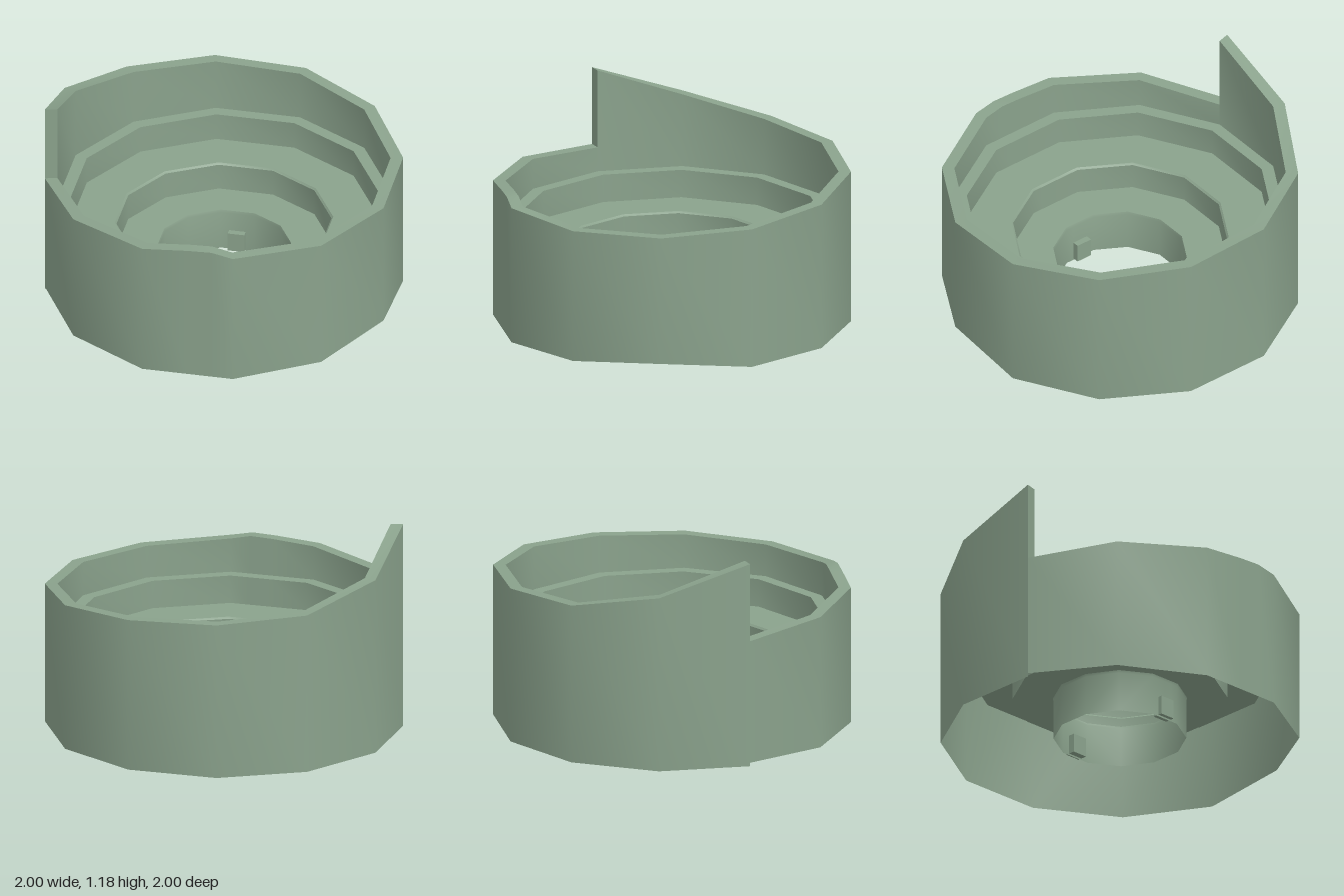
import * as THREE from 'three';
import { toCreasedNormals } from 'three/addons/utils/BufferGeometryUtils.js';

const SIDES = 12;
const material = new THREE.MeshStandardMaterial({ color: 0x8aa28c, side: THREE.DoubleSide });

// Each station: angle in degrees (from -x through the back), rim height, skirt bottom height
const stations = [
  [0, 1.18, 0], [30, 1.01, 0], [60, 0.915, 0], [90, 0.893, 0], [120, 0.875, 0], [150, 0.84, 0],
  [180, 0.805, 0], [210, 0.785, 0.05], [240, 0.775, 0.015], [270, 0.785, 0], [277, 0.81, 0],
  [285, 0.805, 0], [300, 0.785, 0], [330, 0.765, 0.005], [360, 0.73, 0.02],
];

// Point on a twelve-sided ring whose corners lie at radius r
function ringPoint(deg, r, y) {
  const step = 360 / SIDES;
  const half = THREE.MathUtils.degToRad(step / 2);
  const offset = THREE.MathUtils.degToRad((deg % step) - step / 2);
  const d = r * Math.cos(half) / Math.cos(offset);
  const a = THREE.MathUtils.degToRad(deg);
  return [-Math.cos(a) * d, y, -Math.sin(a) * d];
}

// Skin a profile, given per station as [radius, height] pairs, around the ring
function sweep(name, profileAt) {
  const positions = [], indices = [];
  let rows = 0;
  stations.forEach(([deg, top, bottom], i) => {
    const profile = profileAt(top, bottom);
    rows = profile.length;
    for (const [r, y] of profile) positions.push(...ringPoint(deg, r, y));
    if (i === 0) return;
    for (let j = 0; j < rows - 1; j++) {
      const a = (i - 1) * rows + j, b = i * rows + j;
      indices.push(a, a + 1, b + 1, a, b + 1, b);
    }
  });
  const geometry = new THREE.BufferGeometry();
  geometry.setAttribute('position', new THREE.Float32BufferAttribute(positions, 3));
  geometry.setIndex(indices);
  const mesh = new THREE.Mesh(toCreasedNormals(geometry, 0.65), material);
  mesh.name = name;
  return mesh;
}

export function createModel() {
  const group = new THREE.Group();
  group.name = 'spiralCap';

  // Outer skirt, spiral rim and the inside of the wall
  group.add(sweep('outerWall', (top, bottom) => [[1, bottom], [1, top], [0.93, top], [0.93, 0.59]]));

  // Ledge, stepped floor, sunken cup and neck
  group.add(sweep('steppedInterior', () => [
    [0.93, 0.59], [0.86, 0.59], [0.86, 0.43], [0.61, 0.43], [0.6, 0.42],
    [0.6, 0.265], [0.375, 0.265], [0.37, 0.25], [0.37, 0.02],
  ]));

  // Upright end face where the spiral rim steps down
  const stop = new THREE.Mesh(new THREE.PlaneGeometry(0.07, 0.45), material);
  stop.name = 'rimStop';
  stop.position.set(-0.965, 0.955, 0);
  group.add(stop);

  // Two opposed locking tabs through the neck wall
  for (const side of [0, Math.PI]) {
    const pivot = new THREE.Group();
    pivot.name = 'lockingTab';
    pivot.rotation.y = side - 0.26;
    const tab = new THREE.Mesh(new THREE.BoxGeometry(0.095, 0.11, 0.06), material);
    tab.name = 'tab';
    tab.position.set(0, 0.085, -0.35);
    pivot.add(tab);
    group.add(pivot);
  }
  return group;
}
